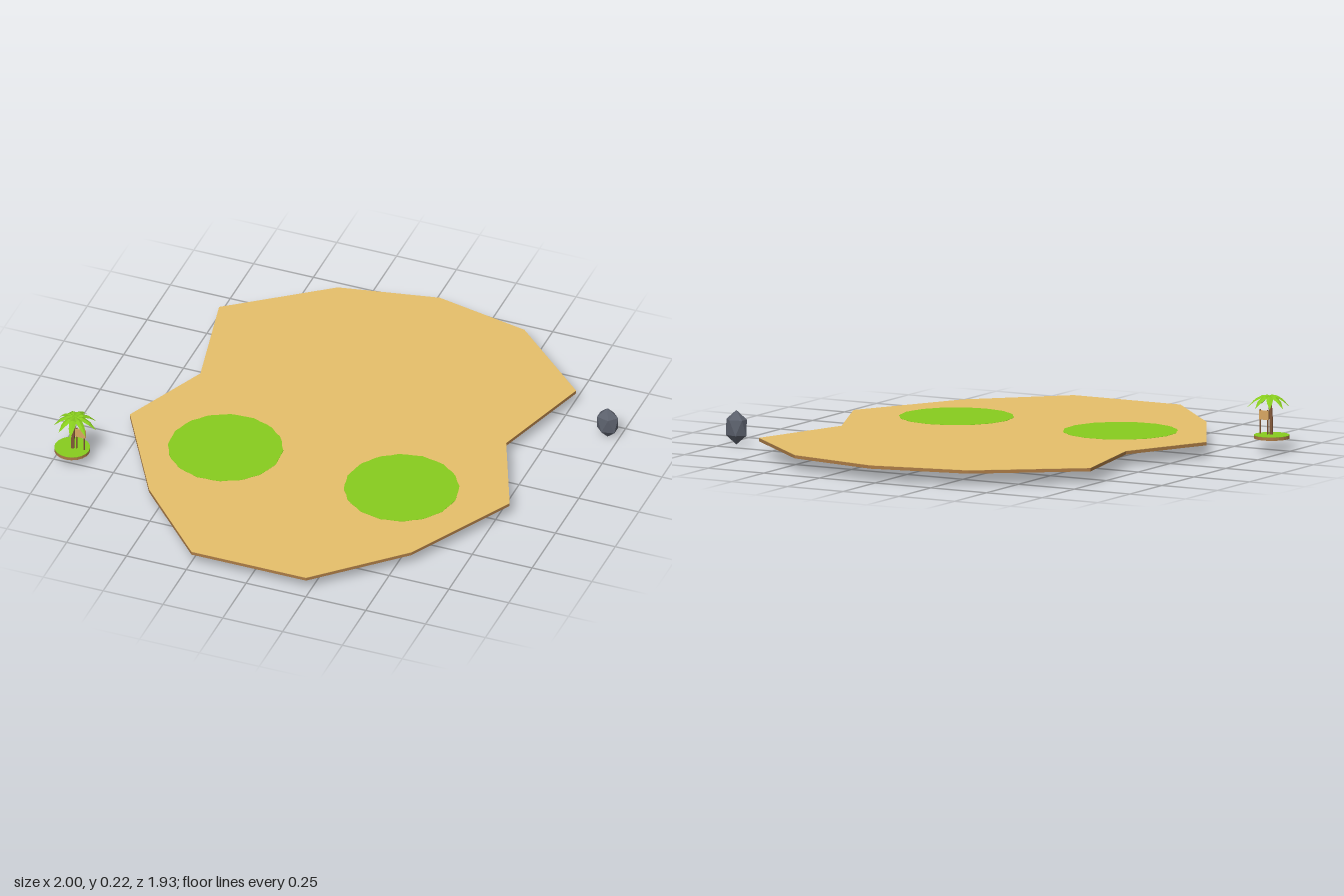
import * as THREE from 'three';

const mat = (name, color, extra = {}) => Object.assign(new THREE.MeshStandardMaterial({ color, flatShading: true, ...extra }), { name });

export function createModel() {
  const sand = mat('sand', 0xe6bf6a);
  const dirt = mat('dirt', 0xaa7a45);
  const grass = mat('grass', 0x87cc1e);
  const leaf = mat('palm leaf', 0x87cc1e, { side: THREE.DoubleSide });
  const bark = mat('bark', 0x85593a);
  const wood = mat('sign wood', 0xd9a762);
  const stone = mat('stone', 0x5c616d);

  const root = new THREE.Group();
  root.name = 'islands';
  const add = (parent, name, geometry, material, x = 0, y = 0, z = 0) => {
    const mesh = new THREE.Mesh(geometry, material);
    mesh.name = name;
    mesh.position.set(x, y, z);
    parent.add(mesh);
    return mesh;
  };
  // Flat plate from [x, z] points, growing upwards from y = 0
  const plate = (points, depth) => new THREE.ExtrudeGeometry(
    new THREE.Shape(points.map(([x, z]) => new THREE.Vector2(x, -z))),
    { depth, bevelEnabled: false },
  ).rotateX(-Math.PI / 2);

  // Main island: dirt base with a thin sand sheet
  const outline = [
    [0.04, -0.97], [0.425, -0.89], [0.76, -0.585], [0.634, -0.16], [0.793, 0.21],
    [0.556, 0.655], [0.236, 0.963], [-0.243, 0.963], [-0.548, 0.635], [-0.8, 0.195],
    [-0.644, -0.16], [-0.738, -0.6], [-0.355, -0.89],
  ];
  add(root, 'islandBase', plate(outline, 0.0125), dirt, 0, 0.049, 0);
  add(root, 'islandSand', plate(outline, 0.0015), sand, 0, 0.0615, 0);

  // Two slightly ragged grass patches
  for (const side of [-1, 1]) {
    const ring = [];
    for (let i = 0; i < 44; i++) {
      const a = (i / 44) * Math.PI * 2;
      const r = 0.223 + 0.003 * Math.sin(i * 2.3 + side);
      ring.push([Math.cos(a) * r, Math.sin(a) * r]);
    }
    add(root, side < 0 ? 'rightGrassPatch' : 'leftGrassPatch', plate(ring, 0.0008), grass, side < 0 ? -0.372 : 0.364, 0.063, 0.268);
  }

  // Small palm island
  const islet = new THREE.Group();
  islet.name = 'palmIslet';
  islet.position.set(-0.93, 0.049, 0.48);
  root.add(islet);
  add(islet, 'isletBase', new THREE.CylinderGeometry(0.07, 0.07, 0.0125, 20), dirt, 0, 0.00625, 0);
  add(islet, 'isletGrass', new THREE.CylinderGeometry(0.07, 0.07, 0.0015, 20), grass, 0, 0.01325, 0);

  // Gently bent trunk
  const bend = new THREE.QuadraticBezierCurve3(
    new THREE.Vector3(0.004, 0.01, 0.004), new THREE.Vector3(0.004, 0.09, 0.004), new THREE.Vector3(0.012, 0.158, 0.004));
  add(islet, 'trunk', new THREE.TubeGeometry(bend, 6, 0.007, 6), bark);

  // Drooping fronds, each folded along its midrib
  const steps = [[0, 0.165, 0.003], [0.032, 0.167, 0.014], [0.062, 0.151, 0.011], [0.09, 0.122, 0]];
  const corners = [];
  for (let i = 0; i < 3; i++) {
    const [x0, y0, w0] = steps[i], [x1, y1, w1] = steps[i + 1];
    for (const s of [1, -1]) {
      const a = [x0, y0, 0], b = [x1, y1, 0];
      const c = [x1, y1 - w1 * 0.4, s * w1], d = [x0, y0 - w0 * 0.4, s * w0];
      corners.push(...(s > 0 ? [a, d, c, a, c, b] : [a, c, d, a, b, c]).flat());
    }
  }
  const frond = new THREE.BufferGeometry();
  frond.setAttribute('position', new THREE.Float32BufferAttribute(corners, 3));
  frond.computeVertexNormals();
  for (let i = 0; i < 9; i++) {
    const f = add(islet, 'frond', frond, leaf, 0.011, 0, 0.003);
    f.rotation.y = (i / 9) * Math.PI * 2;
    f.scale.x = i > 2 && i < 7 ? 0.9 : 1;
  }

  // Wooden sign beside the trunk
  const sign = new THREE.Group();
  sign.name = 'sign';
  sign.position.set(0.035, 0, 0);
  islet.add(sign);
  for (const side of [-1, 1]) {
    add(sign, 'signPost', new THREE.BoxGeometry(0.004, 0.1, 0.005), bark, side * 0.016, 0.06, 0);
  }
  add(sign, 'signBoard', new THREE.BoxGeometry(0.042, 0.036, 0.007), wood, 0, 0.088, 0);

  // Faceted rock standing on one tip
  const rock = new THREE.IcosahedronGeometry(1, 0).rotateZ(-Math.atan(2 / (1 + Math.sqrt(5))));
  rock.scale(0.05, 0.068, 0.037);
  add(root, 'rock', rock, stone, 0.954, 0.068, -0.425);

  return root;
}
